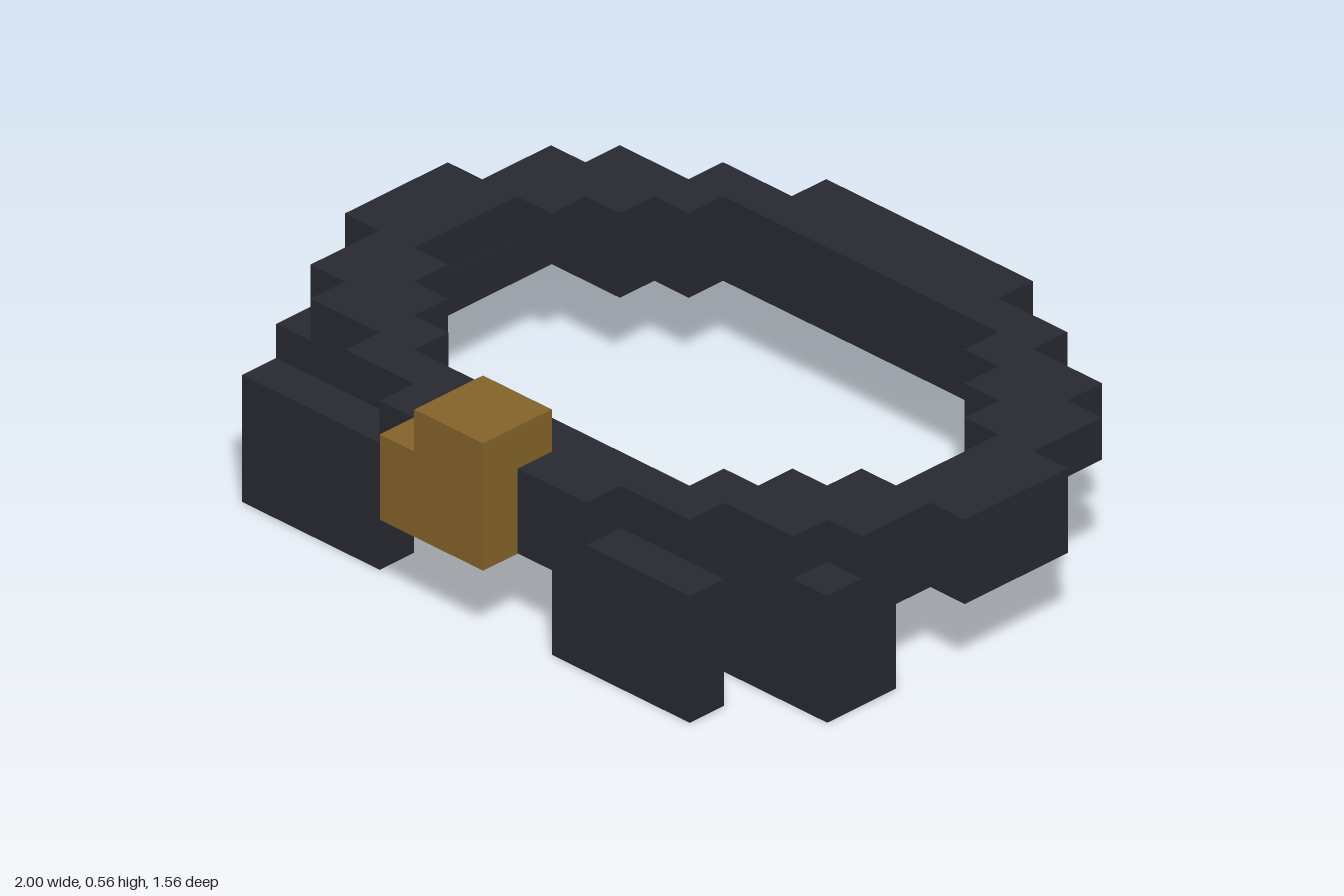
import * as THREE from 'three';

const U = 1 / 9; // one block of the grid

// Stepped closed outline, counter-clockwise and mirrored in x,
// from rows of [half width, zStart, zEnd] running back to front
function steppedPoints(rows) {
  const left = [];
  for (const [w, z0, z1] of rows) left.push([-w, z0], [-w, z1]);
  const right = left.map(([x, z]) => [-x, z]).reverse();
  return [...left, ...right].map(([x, z]) => new THREE.Vector2(x * U, -z * U))
    .filter((p, i, all) => i === 0 || !p.equals(all[i - 1]));
}

// One layer of the ring, a single block high
function ringLayer(name, outer, inner, y, material) {
  const shape = new THREE.Shape(steppedPoints(outer));
  shape.holes.push(new THREE.Path(steppedPoints(inner)));
  const geometry = new THREE.ExtrudeGeometry(shape, { depth: U, bevelEnabled: false });
  geometry.rotateX(-Math.PI / 2).translate(0, y * U, 0);
  const mesh = new THREE.Mesh(geometry, material);
  mesh.name = name;
  return mesh;
}

// Box given by its limits in blocks
function block(name, [x0, x1], [y0, y1], [z0, z1], material) {
  const geometry = new THREE.BoxGeometry((x1 - x0) * U, (y1 - y0) * U, (z1 - z0) * U);
  const mesh = new THREE.Mesh(geometry, material);
  mesh.position.set((x0 + x1) / 2 * U, (y0 + y1) / 2 * U, (z0 + z1) / 2 * U);
  mesh.name = name;
  return mesh;
}

export function createModel() {
  const dark = new THREE.MeshStandardMaterial({ color: 0x292932 });
  dark.name = 'dark band';
  const gold = new THREE.MeshStandardMaterial({ color: 0x87652a });
  gold.name = 'gold buckle';

  const model = new THREE.Group();
  model.name = 'belt';

  // Upper half of the band
  model.add(ringLayer('upperBand',
    [[3, -7, -6], [5, -6, -5], [7, -5, -4], [8, -4, -2], [9, -2, 1], [8, 1, 3], [7, 3, 4], [5, 4, 5], [3, 5, 6]],
    [[4, -5, -4], [5, -4, -3], [6, -3, -2], [7, -2, 1], [6, 1, 2], [5, 2, 3], [4, 3, 4]],
    3, dark));

  // Lower half, cut back at the corners; the hole stays just clear of the outer corner at 7
  model.add(ringLayer('lowerBand',
    [[2, -7, -6], [5, -6, -5], [6, -5, -4], [7, -4, -3], [8, -3, -2], [9, -2, 1], [8, 1, 4], [5, 4, 5], [2, 5, 6]],
    [[4, -5, -4], [5, -4, -3], [6.98, -3, 2], [5, 2, 3], [4, 3, 4]],
    2, dark));

  // Side pouches hanging below the band
  model.add(block('leftSidePouch', [5, 8], [0, 2], [2, 4], dark));
  model.add(block('rightSidePouch', [-8, -5], [0, 2], [2, 4], dark));

  // Flat front pouches
  model.add(block('leftFrontPouch', [2, 6], [0, 3], [5, 6], dark));
  model.add(block('rightFrontPouch', [-7, -3], [0, 3], [5, 6], dark));

  // Buckle with a lower step on its right, standing just proud of the band
  model.add(block('buckle', [-1, 1], [1.99, 5], [5, 7], gold));
  model.add(block('buckleStep', [-2, -1], [1.99, 4.01], [5, 7], gold));

  return model;
}
